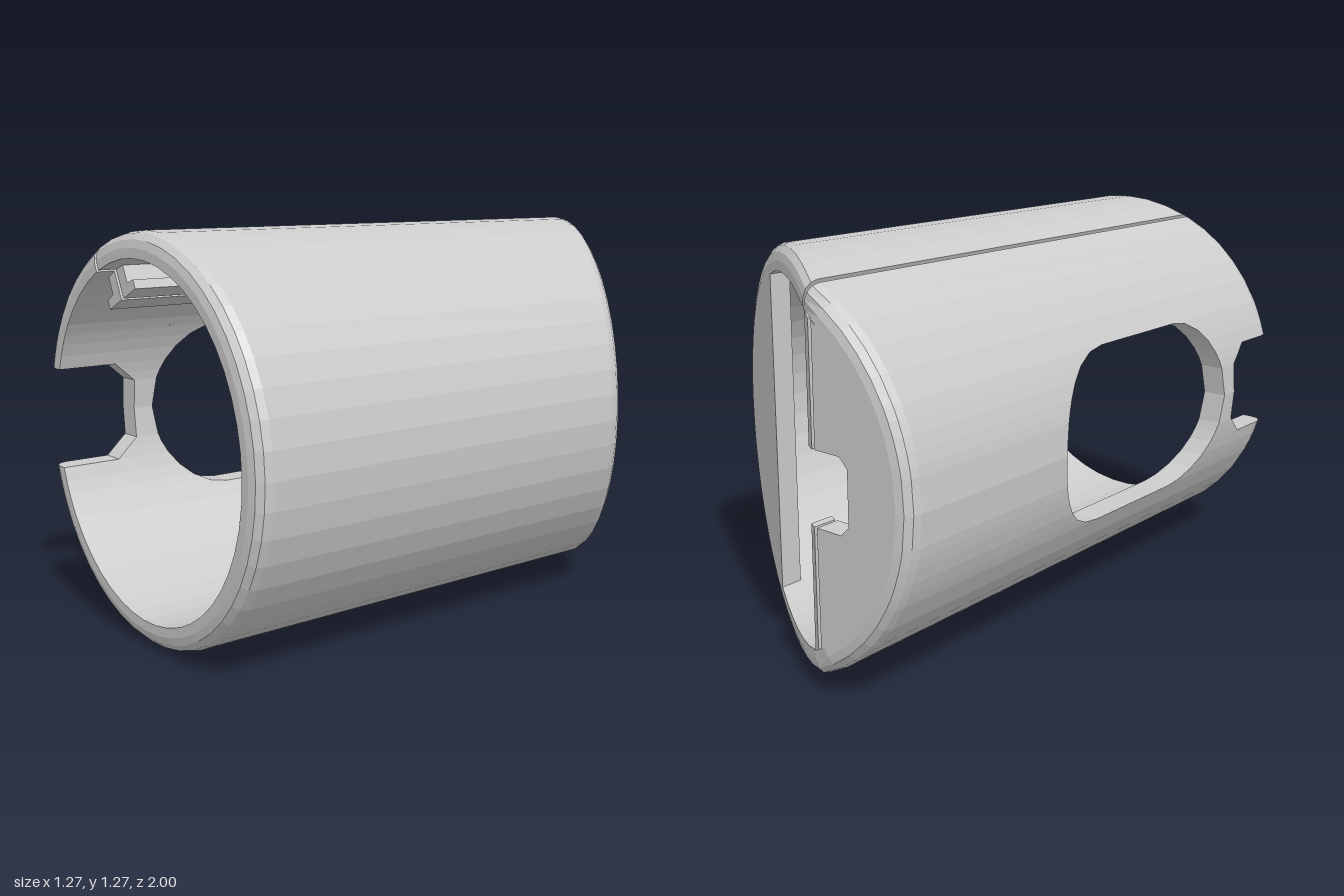
import * as THREE from 'three';

const R = 0.637, RI = 0.556, CY = 0.637;   // outer and inner radius, axis height
const SLANT_X = -0.27, SLOPE = 0.61, BEVEL = 0.05, PLATE = 0.08;
const SLIT = 114.5;                        // angle of the lengthwise slit, degrees
const HOLE = 0.29, NOTCH = 0.165;          // half heights of the side openings

const backZ = x => -1 + SLOPE * Math.max(0, x - SLANT_X);

// Stations give the x, y of a wall point at a radius: along a ray, or along a level cut
const ray = deg => {
  const a = THREE.MathUtils.degToRad(deg);
  return r => [r * Math.cos(a), r * Math.sin(a)];
};
const level = y => r => [-Math.sqrt(r * r - y * y), y];

// Wall cross-section; an end given as null is the rounded outer rim
function section(st, z0, z1) {
  const pts = [];
  const add = (r, z) => {
    const [x, y] = st(r);
    pts.push([x, y + CY, z(x)]);
  };
  const arc = [90, 60, 30, 0].map(d => THREE.MathUtils.degToRad(d));
  if (z0 === null) {
    for (const a of arc) add(R - BEVEL * (1 - Math.cos(a)), x => backZ(x) + BEVEL * (1 - Math.sin(a)));
  } else add(R, () => z0);
  if (z1 === null) {
    for (const a of [...arc].reverse()) add(R - BEVEL * (1 - Math.cos(a)), () => 1 - BEVEL * (1 - Math.sin(a)));
  } else add(R, () => z1);
  add(RI, () => (z1 === null ? 1 : z1));
  add(RI, x => (z0 === null ? backZ(x) : z0));
  return pts;
}

// Skin between successive sections
function sweep(out, sections) {
  for (let i = 0; i + 1 < sections.length; i++) {
    const a = sections[i], b = sections[i + 1], n = a.length;
    for (let j = 0; j < n; j++) {
      const k = (j + 1) % n;
      out.push(...a[j], ...b[j], ...b[k], ...a[j], ...b[k], ...a[k]);
    }
  }
}

// Flat end of a wall piece
function cap(out, sec, flip) {
  for (let j = 1; j + 1 < sec.length; j++) {
    const [p, q] = flip ? [sec[j + 1], sec[j]] : [sec[j], sec[j + 1]];
    out.push(...sec[0], ...p, ...q);
  }
}

function range(a, b, n) {
  return Array.from({ length: n + 1 }, (_, i) => a + (b - a) * i / n);
}

function wallGeometry() {
  const out = [];
  const holeRound = y => Math.sqrt(Math.max(0, 1 - (y / HOLE) ** 2));
  const holeBack = y => -0.03 - 0.27 * holeRound(y);
  const holeFront = y => 0.4 + 0.25 * holeRound(y);
  const notchZ = y => 0.72 + Math.max(0, Math.abs(y) - 0.1) * 1.2;

  // Full-length wall on either side of the side opening
  const upper = [...range(SLIT + 0.7, 145, 4).map(ray), level(HOLE)].map(s => section(s, null, null));
  const main = [level(-HOLE), ...range(215, 360 + SLIT - 0.7, 34).map(ray)].map(s => section(s, null, null));
  sweep(out, upper);
  sweep(out, main);
  cap(out, upper[0], false);
  cap(out, main[main.length - 1], true);

  // Wall behind the oval opening, and in front of it around the notch
  const top = [HOLE, 0.28, 0.25, 0.21, NOTCH];
  const mid = [NOTCH, 0.13, 0.1, 0, -0.1, -0.13, -NOTCH];
  const low = top.map(y => -y).reverse();
  const ys = [...top, ...mid.slice(1, -1), ...low];
  sweep(out, ys.map(y => section(level(y), null, holeBack(y))));
  sweep(out, mid.map(y => section(level(y), holeFront(y), notchZ(y))));
  for (const list of [top, low]) sweep(out, list.map(y => section(level(y), holeFront(y), null)));

  // Straight edges of the opening and of the notch
  for (const s of [1, -1]) {
    cap(out, section(level(s * HOLE), holeBack(HOLE), holeFront(HOLE)), s > 0);
    cap(out, section(level(s * NOTCH), notchZ(NOTCH), null), s > 0);
  }
  const g = new THREE.BufferGeometry();
  g.setAttribute('position', new THREE.Float32BufferAttribute(out, 3));
  g.computeVertexNormals();
  return g;
}

// Plate in the rear end, sheared to follow the slanted cut
function plateGeometry(points) {
  const shape = new THREE.Shape(points.map(p => new THREE.Vector2(p[0], p[1])));
  const g = new THREE.ExtrudeGeometry(shape, { depth: PLATE, bevelEnabled: false });
  const p = g.attributes.position;
  for (let i = 0; i < p.count; i++) p.setZ(i, p.getZ(i) + backZ(p.getX(i)));
  g.translate(0, CY, 0);
  g.computeVertexNormals();
  return g;
}

// Points of the inner circle between two angles
const arcPoints = (a, b, n) => range(a, b, n).map(t => [(RI + 0.003) * Math.cos(t), (RI + 0.003) * Math.sin(t)]);

export function createModel() {
  const model = new THREE.Group();
  const material = new THREE.MeshStandardMaterial({ color: 0xcccccc, flatShading: true });
  const add = (name, geometry) => {
    const mesh = new THREE.Mesh(geometry, material);
    mesh.name = name;
    model.add(mesh);
    return mesh;
  };

  add('tubeWall', wallGeometry());

  // Flat rear plate with a chamfered cut-out in its straight edge
  const x0 = -0.284, a0 = Math.acos(x0 / RI);
  const y0 = -0.11, y1 = 0.118, c = 0.03, xc = -0.41;
  add('flatRearPlate', plateGeometry([
    ...arcPoints(a0, 2 * Math.PI - a0, 18),
    [x0, y0], [xc + c, y0], [xc, y0 + c], [xc, y1 - c], [xc + c, y1], [x0, y1],
  ]));

  // Narrow strips across the gap, above and below the cut-out
  const sx0 = -0.274, sx1 = -0.245;
  const rim = x => Math.sqrt(RI * RI - x * x) + 0.003;
  add('upperRearStrip', plateGeometry([[sx0, y1], [sx1, y1], [sx1, rim(sx1)], [sx0, rim(sx0)]]));
  add('lowerRearStrip', plateGeometry([[sx0, -rim(sx0)], [sx1, -rim(sx1)], [sx1, y0], [sx0, y0]]));

  // Slanted rear plate
  const a1 = Math.acos(0.2 / RI);
  add('slantedRearPlate', plateGeometry(arcPoints(-a1, a1, 20)));

  // Mirrored L-shaped rails along the slit
  for (const s of [1, -1]) {
    const profile = [[0.007, 0.46], [0.092, 0.46], [0.092, 0.49], [0.052, 0.495], [0.052, 0.57], [0.007, 0.57]];
    const shape = new THREE.Shape(profile.map(p => new THREE.Vector2(s * p[0], p[1])));
    const rail = add(s > 0 ? 'leftRail' : 'rightRail',
      new THREE.ExtrudeGeometry(shape, { depth: 1.74, bevelEnabled: false }));
    rail.position.set(0, CY, -0.8);
    rail.rotation.z = THREE.MathUtils.degToRad(SLIT - 90);
  }
  return model;
}
